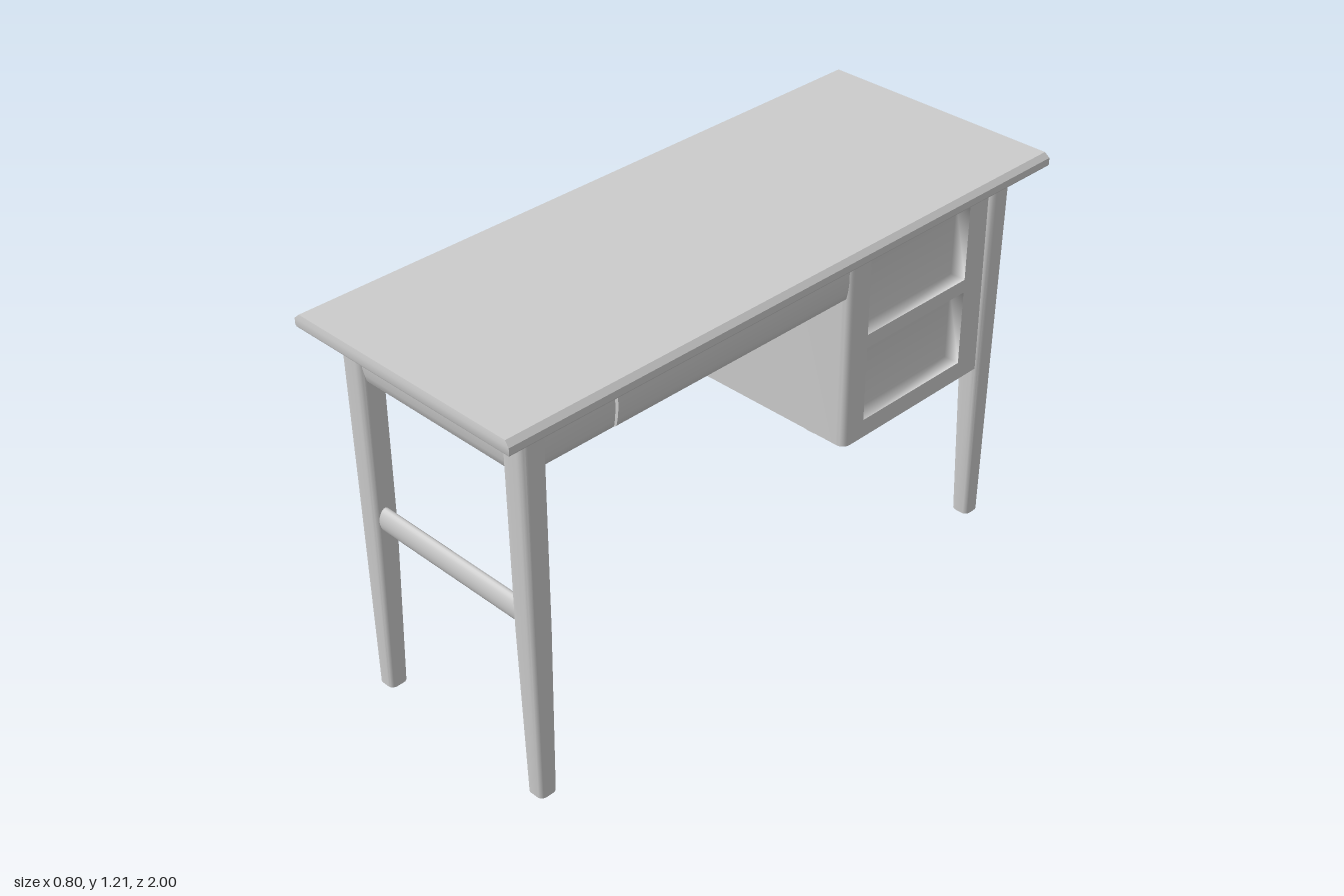
import * as THREE from 'three';
import { mergeVertices, toCreasedNormals } from 'three/addons/utils/BufferGeometryUtils.js';

const solid = new THREE.MeshStandardMaterial({ color: 0xcccccc });
const thin = new THREE.MeshStandardMaterial({ color: 0xcccccc, side: THREE.DoubleSide });

function addMesh(parent, name, geometry, material = solid) {
  const mesh = new THREE.Mesh(geometry, material);
  mesh.name = name;
  parent.add(mesh);
  return mesh;
}

// Skin a stack of [x, z] outlines given as { y, points }
function loft(sections, { closed = true, capped = true } = {}) {
  const n = sections[0].points.length;
  const pos = [], index = [];
  for (const { y, points } of sections) for (const [x, z] of points) pos.push(x, y, z);
  for (let s = 0; s < sections.length - 1; s++) {
    for (let j = 0; j < (closed ? n : n - 1); j++) {
      const a = s * n + j, b = s * n + (j + 1) % n;
      index.push(a, a + n, b, b, a + n, b + n);
    }
  }
  const last = (sections.length - 1) * n;
  for (let j = 1; capped && j < n - 1; j++) {
    index.push(0, j, j + 1, last, last + j + 1, last + j);
  }
  const g = new THREE.BufferGeometry();
  g.setAttribute('position', new THREE.Float32BufferAttribute(pos, 3));
  g.setIndex(index);
  return toCreasedNormals(g, 0.5);
}

const rectangle = (x, z) => [[-x, -z], [x, -z], [x, z], [-x, z]];

// Leg outline: a square with generously rounded corners
function legOutline(xi, xo, zi, zo, sx, sz) {
  const hx = (xo - xi) / 2, hz = (zo - zi) / 2, r = 0.6 * Math.min(hx, hz);
  const cx = sx * (xi + xo) / 2 - 0.006, cz = sz * (zi + zo) / 2;
  const pts = [];
  [[1, 1], [-1, 1], [-1, -1], [1, -1]].forEach(([kx, kz], corner) => {
    for (let i = 0; i <= 6; i++) {
      const a = (corner + i / 6) * Math.PI / 2;
      pts.push([cx + kx * (hx - r) + r * Math.cos(a), cz + kz * (hz - r) + r * Math.sin(a)]);
    }
  });
  return pts;
}

// Rail running along z with a gently bulged face towards +x
function rail(length, height, thickness, bulge) {
  const h = height / 2, e = 0.012;
  const s = new THREE.Shape();
  s.moveTo(-thickness, -h);
  s.lineTo(-e, -h);
  s.quadraticCurveTo(0, -h, bulge * 0.3, -h + e);
  s.quadraticCurveTo(bulge * 1.7, 0, bulge * 0.3, h - e);
  s.quadraticCurveTo(0, h, -e, h);
  s.lineTo(-thickness, h);
  s.closePath();
  const g = new THREE.ExtrudeGeometry(s, { depth: length, bevelEnabled: false, curveSegments: 8 });
  g.translate(0, 0, -length / 2);
  return toCreasedNormals(g, 0.6);
}

export function createModel() {
  const desk = new THREE.Group();
  desk.name = 'desk';

  // Top with softened edges
  addMesh(desk, 'tabletop', loft([
    { y: 1.171, points: rectangle(0.397, 0.998) },
    { y: 1.176, points: rectangle(0.4, 1) },
    { y: 1.196, points: rectangle(0.4, 1) },
    { y: 1.21, points: rectangle(0.385, 0.997) },
  ]));

  // Four tapered hollow legs
  for (const sx of [-1, 1]) for (const sz of [-1, 1]) {
    addMesh(desk, 'leg', loft([
      { y: 0, points: legOutline(0.28, 0.339, 0.846, 0.905, sx, sz) },
      { y: 0.54, points: legOutline(0.264, 0.343, 0.834, 0.909, sx, sz) },
      { y: 1.173, points: legOutline(0.262, 0.348, 0.831, 0.913, sx, sz) },
    ], { capped: false }), thin);
  }

  // Aprons and drawer fronts on both long sides
  for (const side of [-1, 1]) {
    const group = new THREE.Group();
    group.name = side > 0 ? 'leftSideFronts' : 'rightSideFronts';
    group.rotation.y = side > 0 ? 0 : Math.PI;
    const apron = addMesh(group, 'sideApron', rail(0.25, 0.145, 0.025, 0.008));
    apron.position.set(0.318, 1.091, side * 0.728);
    const front = addMesh(group, 'drawerFront', rail(0.84, 0.146, 0.025, 0.01));
    front.position.set(0.318, 1.09, side * 0.175);
    desk.add(group);
  }

  // End apron, rounded stretcher and the cross rail beneath the top
  const endApron = addMesh(desk, 'endApron', rail(0.56, 0.152, 0.025, 0.012));
  endApron.rotation.y = -Math.PI / 2;
  endApron.position.set(-0.01, 1.089, 0.893);
  const bar = new THREE.CylinderGeometry(0.038, 0.038, 0.56, 24);
  bar.scale(1, 1, 0.5);
  bar.rotateZ(Math.PI / 2);
  addMesh(desk, 'stretcher', bar).position.set(-0.01, 0.582, 0.88);
  const cross = addMesh(desk, 'crossRail', new THREE.BoxGeometry(0.6, 0.145, 0.025));
  cross.position.set(0, 1.092, 0.595);

  // Cabinet: thin walls, open below, with rounded corners towards the knee space
  const cabinet = new THREE.Group();
  cabinet.name = 'cabinet';
  desk.add(cabinet);
  const bottom = 0.537, top = 1.172, x = 0.325, front = -0.255, back = -0.868, r = 0.03;
  const plan = new THREE.Path();
  plan.moveTo(x, front - r);
  plan.quadraticCurveTo(x, front, x - r, front);
  plan.lineTo(r - x, front);
  plan.quadraticCurveTo(-x, front, -x, front - r);
  plan.lineTo(-x, back);
  plan.lineTo(x, back);
  const points = plan.getPoints(8).map((p) => [p.x, p.y]).reverse();
  addMesh(cabinet, 'cabinetWalls',
    loft([{ y: bottom, points }, { y: top, points }], { closed: false, capped: false }), thin);

  // Face with two openings, drawn with -z as its first coordinate
  const corners = (a, b, lo, hi) =>
    [[a, lo], [b, lo], [b, hi], [a, hi]].map(([u, v]) => new THREE.Vector2(u, v));
  const openings = [[0.595, 0.832], [0.874, 1.11]];
  const z0 = 0.336, z1 = 0.753;
  const face = new THREE.Shape(corners(r - front, -back, bottom, top));
  for (const [lo, hi] of openings) face.holes.push(new THREE.Path(corners(z0, z1, lo, hi)));
  const frame = addMesh(cabinet, 'cabinetFace', new THREE.ShapeGeometry(face), thin);
  frame.rotation.y = Math.PI / 2;
  frame.position.x = x;

  // Shallow, softly shaded recesses open towards +x, faces turned inwards
  const depth = 0.05;
  for (const [lo, hi] of openings) {
    let g = new THREE.BoxGeometry(depth, hi - lo, z1 - z0);
    g.setIndex(Array.from(g.index.array).slice(6).reverse());
    g.deleteAttribute('normal');
    g.deleteAttribute('uv');
    g = mergeVertices(g);
    g.computeVertexNormals();
    const recess = addMesh(cabinet, 'recess', g, thin);
    recess.position.set(x - depth / 2, (lo + hi) / 2, -(z0 + z1) / 2);
  }

  return desk;
}
